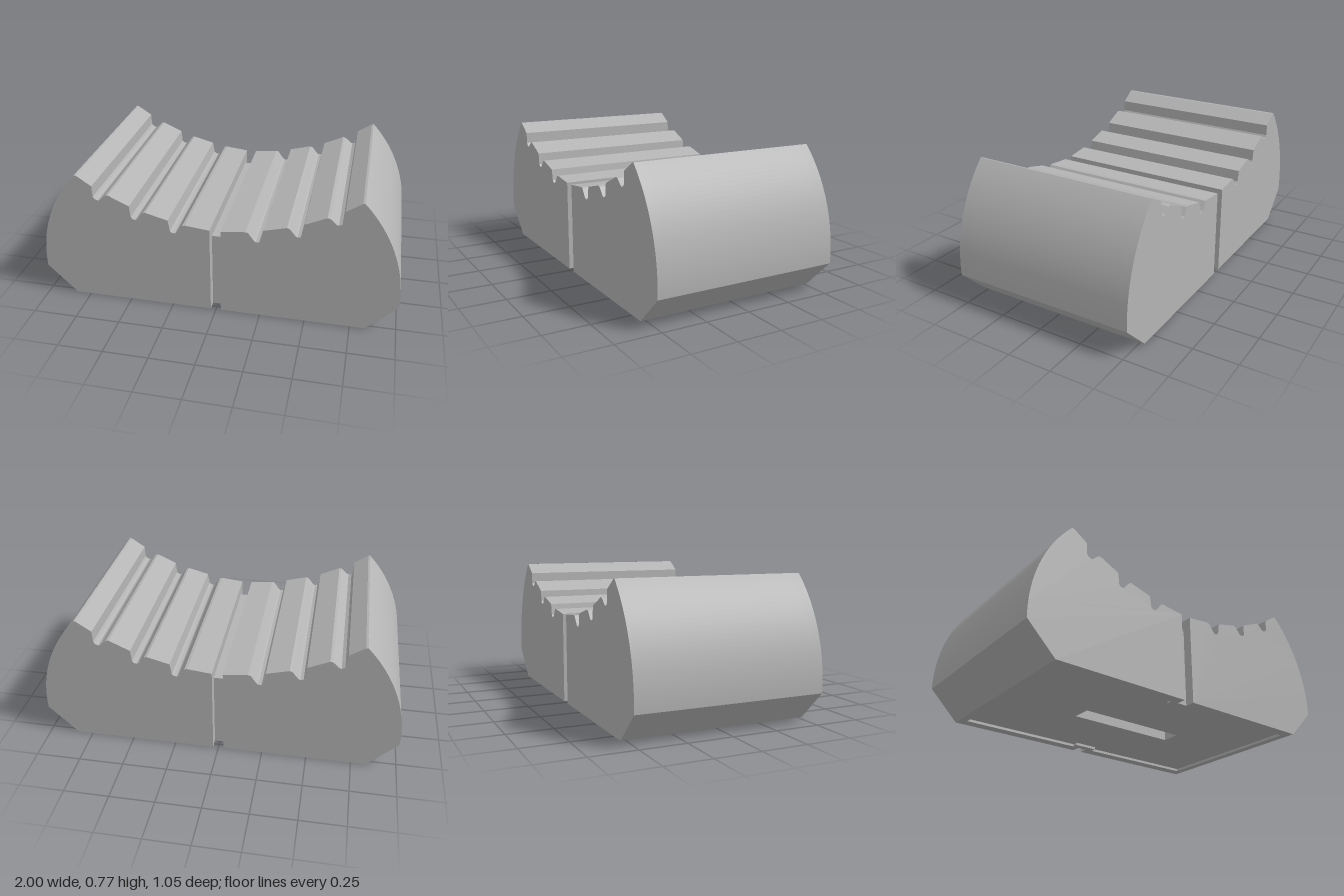
import * as THREE from 'three';
import { toCreasedNormals } from 'three/addons/utils/BufferGeometryUtils.js';

const HALF = 0.525;      // half depth of the whole block
const CORE = 0.47;       // half depth of the middle, behind the groove ends
const GROOVE = 0.03;     // half width of the centre groove
const CAVITY = 0.3;      // height of the slot ceiling
const RECESS = 0.015;    // depth of the underside panel

// Notched top and rounded side of the +x half, from the groove to the floor
function halfProfile() {
  const pts = [
    [GROOVE, 0.515], [0.165, 0.53], [0.18, 0.527], [0.212, 0.482], [0.222, 0.474],
    [0.24, 0.476], [0.25, 0.487], [0.26, 0.55],
    [0.385, 0.583], [0.4, 0.578], [0.432, 0.538], [0.443, 0.532],
    [0.46, 0.536], [0.468, 0.548], [0.474, 0.613],
    [0.59, 0.666], [0.605, 0.663], [0.638, 0.633], [0.65, 0.628],
    [0.668, 0.637], [0.676, 0.65], [0.678, 0.713],
    [0.76, 0.767], [0.772, 0.769],
  ];
  const steps = 28, start = 0.765, end = -0.043;
  for (let i = 0; i <= steps; i++) {
    const a = start + (end - start) * i / steps;
    pts.push([0.178 + 0.822 * Math.cos(a), 0.2 + 0.822 * Math.sin(a)]);
  }
  pts.push([0.835, 0]);
  return pts;
}

const toShape = (pts) => new THREE.Shape(pts.map(([x, y]) => new THREE.Vector2(x, y)));
const mirror = (pts) => pts.map(([x, y]) => [-x, y]).reverse();
const rect = (w, d) => [[-w, -d], [w, -d], [w, d], [-w, d]];

// Extrude along z between two depths
function slice(pts, z0, z1) {
  const g = new THREE.ExtrudeGeometry(toShape(pts), { depth: z1 - z0, bevelEnabled: false });
  g.translate(0, 0, z0);
  return toCreasedNormals(g, 0.25);
}

// Horizontal slab with a hole, between two heights
function slab(outer, hole, y0, y1) {
  const s = toShape(outer);
  s.holes.push(toShape(hole));
  const g = new THREE.ExtrudeGeometry(s, { depth: y1 - y0, bevelEnabled: false });
  g.rotateX(Math.PI / 2);
  g.translate(0, y1, 0);
  return g;
}

export function createModel() {
  const group = new THREE.Group();
  const grey = new THREE.MeshStandardMaterial({ color: 0xb4b4b4 });
  grey.name = 'grey';
  const add = (name, geometry) => {
    const m = new THREE.Mesh(geometry, grey);
    m.name = name;
    group.add(m);
  };

  const right = halfProfile();
  const left = mirror(right);

  // Middle of the block, with the groove on top and an open underside
  add('middleBody', slice([
    [-GROOVE, 0.45], [GROOVE, 0.45], ...right,
    [0.8, 0], [0.8, CAVITY], [-0.8, CAVITY], [-0.8, 0], ...left,
  ], -CORE, CORE));

  // End walls, split by the groove
  for (const [end, z0, z1] of [['front', CORE, HALF], ['back', -HALF, -CORE]]) {
    add(end + 'LeftWall', slice([...right, [GROOVE, 0]], z0, z1));
    add(end + 'RightWall', slice([[-GROOVE, 0], ...left], z0, z1));
  }

  // Underside panel with its slot, and the rim that steps around the groove ends
  add('basePanel', slab(rect(0.8, CORE), rect(0.33, 0.055), RECESS, CAVITY));
  const w = 0.792, d = 0.465, jx = 0.07, jz = 0.43;
  add('baseRim', slab(rect(0.8, CORE), [
    [-w, -d], [-jx, -d], [-jx, -jz], [jx, -jz], [jx, -d], [w, -d],
    [w, d], [jx, d], [jx, jz], [-jx, jz], [-jx, d], [-w, d],
  ], 0, RECESS));

  return group;
}
